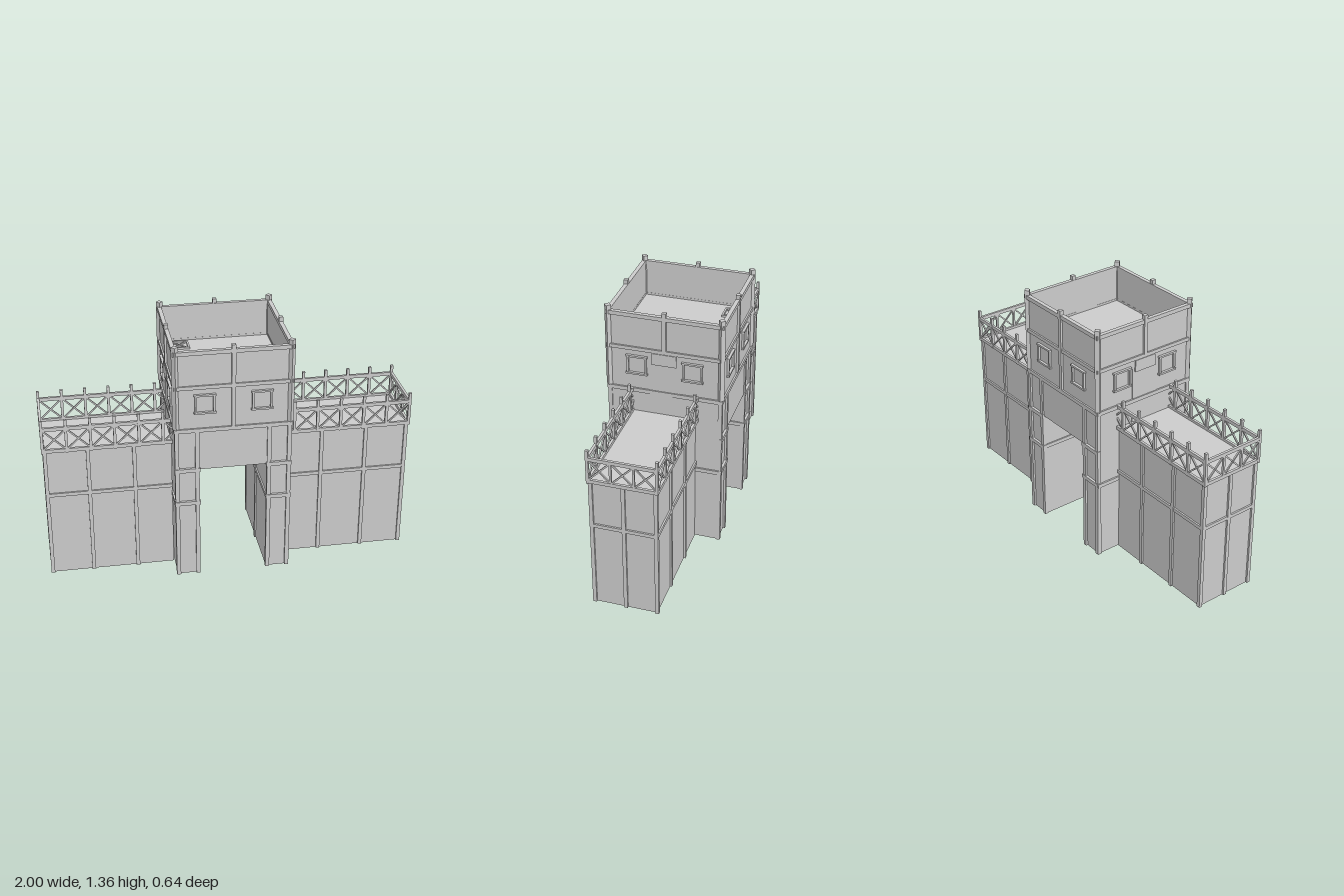
import * as THREE from 'three';

const material = new THREE.MeshStandardMaterial({ color: 0xcccccc, flatShading: true, side: THREE.DoubleSide });

// Box given by its centre and size
function box(parent, name, x, y, z, w, h, d) {
  const mesh = new THREE.Mesh(new THREE.BoxGeometry(w, h, d), material);
  mesh.name = name;
  mesh.position.set(x, y, z);
  parent.add(mesh);
  return mesh;
}

// Box standing on the ground without its bottom face
function shell(parent, name, x, z, w, h, d) {
  const mesh = box(parent, name, x, h / 2, z, w, h, d);
  const g = mesh.geometry;
  const index = Array.from(g.index.array);
  index.splice(18, 6);
  g.setIndex(index);
  g.clearGroups();
  return mesh;
}

function group(parent, name) {
  const g = new THREE.Group();
  g.name = name;
  parent.add(g);
  return g;
}

// Crossed braces filling a w by h panel in the local xy plane
function cross(parent, x, y, z, w, h, t = 0.008) {
  for (const s of [-1, 1]) {
    box(parent, 'brace', x, y, z + s * t * 0.25, Math.hypot(w, h), t, t).rotation.z = s * Math.atan2(h, w);
  }
}

// Square window frame facing +z
function windowFrame(parent, x, y, z) {
  const w = group(parent, 'window');
  w.position.set(x, y, z);
  for (const s of [-1, 1]) {
    box(w, 'windowJamb', s * 0.048, 0, 0, 0.01, 0.1, 0.018);
    box(w, 'windowRail', 0, s * 0.05, 0, 0.116, 0.01, 0.022);
  }
}

// Side wing: timber framed wall block with a fenced walkway; built toward +x
function addWing(root, side) {
  const wing = group(root, side > 0 ? 'leftWing' : 'rightWing');
  if (side < 0) wing.rotation.y = Math.PI;
  shell(wing, 'wingWalls', 0.645, 0, 0.67, 0.76, 0.336);

  for (const s of [-1, 1]) {
    for (const x of [0.51, 0.755, 0.98]) box(wing, 'wallPost', x, 0.375, s * 0.168, 0.02, 0.75, 0.02);
    box(wing, 'wallRail', 0.645, 0.49, s * 0.17, 0.67, 0.02, 0.014);
  }
  box(wing, 'endPost', 0.98, 0.375, 0, 0.02, 0.75, 0.02);
  box(wing, 'endRail', 0.982, 0.49, 0, 0.014, 0.02, 0.35);

  // Walkway fence: long sides
  const fence = group(wing, 'fence');
  for (const s of [-1, 1]) {
    const z = s * 0.177;
    for (const y of [0.762, 0.89]) box(fence, 'fenceRail', 0.652, y, z, 0.69, 0.02, 0.014);
    for (let i = 0; i < 6; i++) {
      const x = 0.99 - i * 0.127;
      box(fence, 'fencePost', x, 0.845, z, 0.015, 0.19, 0.015);
      cross(fence, x - 0.0635, 0.826, z, 0.112, 0.108);
    }
  }
  // Walkway fence: outer end
  const end = group(fence, 'endFence');
  end.position.x = 0.99;
  end.rotation.y = Math.PI / 2;
  for (const y of [0.762, 0.89]) box(end, 'fenceRail', 0, y, 0, 0.368, 0.02, 0.014);
  for (const x of [-0.059, 0.059]) box(end, 'fencePost', x, 0.826, 0, 0.012, 0.12, 0.012);
  for (const x of [-0.118, 0, 0.118]) cross(end, x, 0.826, 0, 0.106, 0.108);
}

// Gate leg on one side of the passage
function addLeg(root, side) {
  const leg = group(root, side > 0 ? 'leftGateLeg' : 'rightGateLeg');
  shell(leg, 'legWalls', side * 0.245, 0, 0.12, 0.88, 0.6);
  for (const s of [-1, 1]) {
    for (const x of [0.192, 0.3]) box(leg, 'legPost', side * x, 0.44, s * 0.3, 0.022, 0.88, 0.022);
    for (const y of [0.45, 0.65]) box(leg, 'legFrontRail', side * 0.245, y, s * 0.304, 0.136, 0.022, 0.02);
    box(leg, 'legOuterRail', side * 0.305, 0.445, s * 0.24, 0.018, 0.022, 0.14);
  }
  box(leg, 'passagePost', side * 0.187, 0.325, 0, 0.02, 0.65, 0.022);
  box(leg, 'passageRail', side * 0.185, 0.45, 0, 0.016, 0.022, 0.6);
}

export function createModel() {
  const root = new THREE.Group();
  root.name = 'gatehouse';

  for (const side of [-1, 1]) {
    addWing(root, side);
    addLeg(root, side);
  }

  // Block over the passage
  box(root, 'lintelBlock', 0, 0.765, 0, 0.372, 0.23, 0.606);

  // Guard room
  const room = group(root, 'guardRoom');
  box(room, 'roomWalls', 0, 1.005, 0, 0.61, 0.25, 0.61);

  // Four alike tower sides: bands, parapet wall, centre post and windows
  for (let i = 0; i < 4; i++) {
    const face = group(room, ['front', 'left', 'back', 'right'][i] + 'Face');
    face.rotation.y = i * Math.PI / 2;
    box(face, 'floorBand', 0, 0.886, 0.304, 0.62, 0.022, 0.02);
    box(face, 'roofBand', 0, 1.132, 0.304, 0.62, 0.02, 0.02);
    box(face, 'parapetWall', 0, 1.23, 0.3, 0.6, 0.19, 0.01);
    box(face, 'parapetRail', 0, 1.325, 0.304, 0.63, 0.022, 0.022);
    for (const x of [-0.15, 0.15]) windowFrame(face, x, 1.037, 0.308);
    if (i % 2) {
      // Door onto the walkway
      box(face, 'parapetPost', 0, 1.25, 0.306, 0.022, 0.22, 0.022);
      box(face, 'door', 0, 0.93, 0.305, 0.16, 0.38, 0.006);
      box(face, 'doorHeader', 0, 1.088, 0.308, 0.132, 0.066, 0.016);
    } else {
      box(face, 'centrePost', 0, 1.13, 0.306, 0.022, 0.46, 0.022);
    }
    // Corner post set on the diagonal
    box(face, 'cornerPost', 0.302, 1.13, 0.302, 0.026, 0.465, 0.026).rotation.y = Math.PI / 4;
  }

  // Hatch on the roof floor
  const hatch = group(room, 'roofHatch');
  hatch.position.set(-0.203, 1.134, -0.222);
  hatch.rotation.x = -Math.PI / 2;
  for (const s of [-1, 1]) {
    box(hatch, 'hatchSide', s * 0.043, 0, 0, 0.01, 0.095, 0.014);
    box(hatch, 'hatchEnd', 0, s * 0.043, 0, 0.095, 0.01, 0.014);
  }
  cross(hatch, 0, 0, 0, 0.08, 0.08);

  return root;
}
